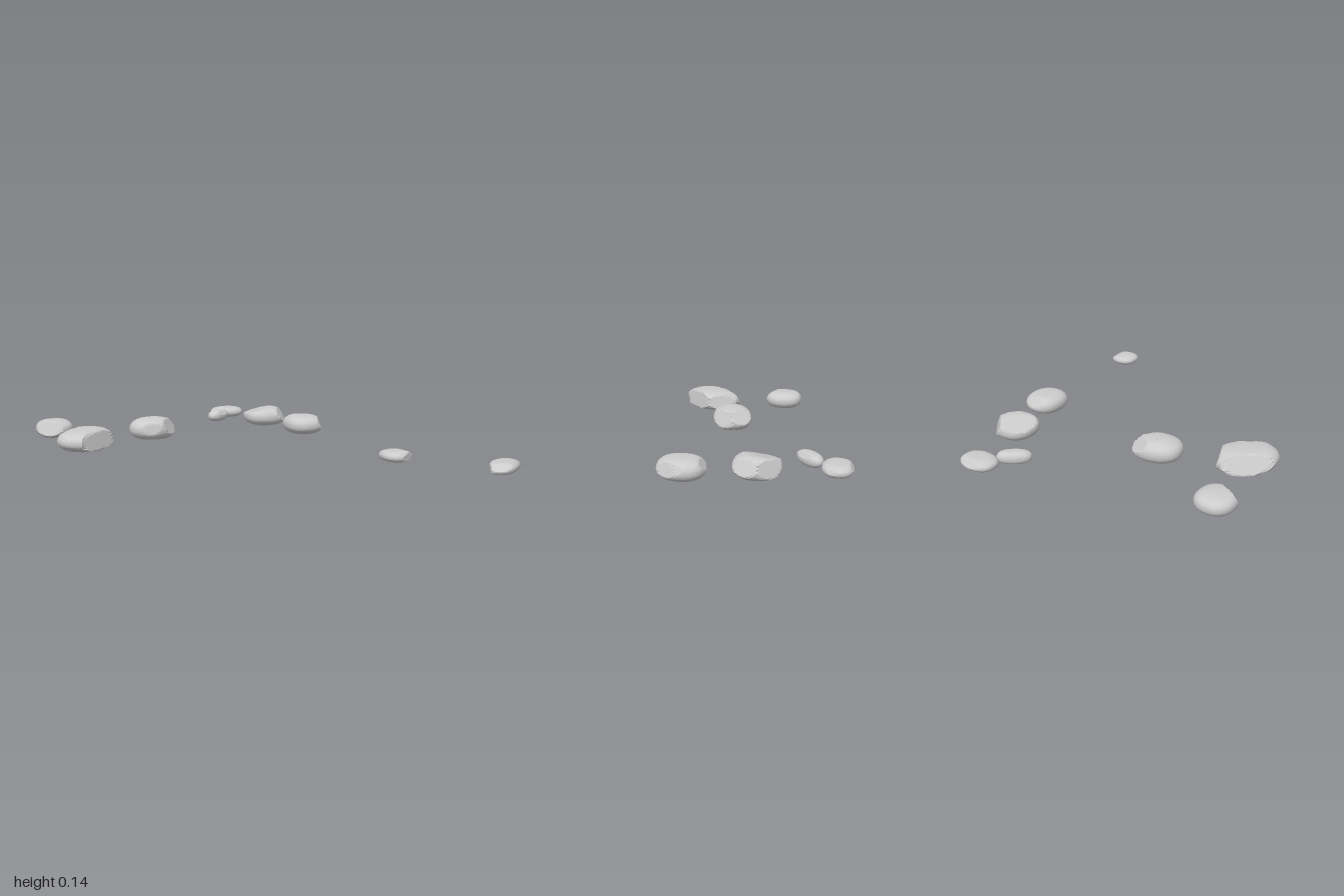
import * as THREE from 'three';

const RAD = Math.PI / 180;
const ROUNDNESS = 2.3;

// Direction from an azimuth (0 = +x, 90 = +z) and an elevation, in degrees
function direction(azimuth, elevation) {
  const flat = Math.cos(elevation * RAD);
  return new THREE.Vector3(
    flat * Math.cos(azimuth * RAD), Math.sin(elevation * RAD), flat * Math.sin(azimuth * RAD));
}

// Pebble: a flattened superellipse, turned by yaw, then chipped by flat cuts.
// Each chip is [azimuth, elevation, distance from the rock's centre].
function makeRock({ name, at, half, height, yaw, chips }, seed) {
  const planes = chips.map(([azimuth, elevation, d]) => ({ n: direction(azimuth, elevation), d }));
  const geometry = new THREE.IcosahedronGeometry(1, 6);
  const pos = geometry.attributes.position;
  const v = new THREE.Vector3();
  for (let i = 0; i < pos.count; i++) {
    v.fromBufferAttribute(pos, i);
    const flat = Math.hypot(v.x, v.z);
    const angle = Math.atan2(v.z, v.x);
    const a = Math.abs(Math.cos(angle - yaw * RAD)) / half[0];
    const b = Math.abs(Math.sin(angle - yaw * RAD)) / half[1];
    const edge = Math.pow(a ** ROUNDNESS + b ** ROUNDNESS, -1 / ROUNDNESS);
    const r = edge * Math.pow(flat, 0.66);
    // Gentle unevenness over the top and bottom
    const wobble = 1 + 0.02 * Math.sin(5 * v.x + seed) * Math.sin(6 * v.z + 2 * seed + 3 * v.y);
    const up = Math.sign(v.y) * Math.pow(Math.abs(v.y), 0.9) * height / 2;
    v.set(r * Math.cos(angle), up * wobble, r * Math.sin(angle));
    // Pull points beyond a chip back to its plane
    let k = 1;
    for (const { n, d } of planes) {
      const s = n.dot(v);
      if (s > d) k = Math.min(k, d / s);
    }
    v.multiplyScalar(k);
    pos.setXYZ(i, v.x, Math.max(0, v.y + height / 2), v.z);
  }
  geometry.computeVertexNormals();
  const mesh = new THREE.Mesh(geometry,
    new THREE.MeshStandardMaterial({ color: 0xcccccc, flatShading: true }));
  mesh.name = name;
  mesh.position.set(at[0], 0, at[1]);
  return mesh;
}

const rocks = [
  { name: 'backRock', at: [0.537, -0.912], half: [0.12, 0.09], height: 0.075, yaw: 0,
    chips: [[25, 25, 0.105], [-90, 35, 0.07]] },
  { name: 'backSmallRock', at: [0.41, -0.752], half: [0.105, 0.052], height: 0.08, yaw: -38,
    chips: [[52, 40, 0.045]] },
  { name: 'rightBackRock', at: [0.655, -0.48], half: [0.145, 0.137], height: 0.13, yaw: 0,
    chips: [[-45, 20, 0.105], [32, 30, 0.105], [-150, 75, 0.055]] },
  { name: 'rightRock', at: [0.755, -0.08], half: [0.125, 0.138], height: 0.125, yaw: 0,
    chips: [[10, 25, 0.11], [-90, 35, 0.11], [28, 20, 0.108]] },
  { name: 'frontRock', at: [0.845, 0.905], half: [0.092, 0.09], height: 0.065, yaw: 0,
    chips: [[75, 45, 0.062], [-10, 62, 0.045], [59, 0, 0.07]] },
  { name: 'middleRock', at: [-0.243, -0.212], half: [0.155, 0.122], height: 0.14, yaw: -15,
    chips: [[36, 25, 0.1], [-50, 45, 0.095], [95, 12, 0.118]] },
  { name: 'leftRock', at: [-0.725, -0.005], half: [0.2, 0.165], height: 0.13, yaw: 115,
    chips: [[51, 12, 0.11], [-23, 15, 0.15], [-133, 30, 0.1]] },
  { name: 'leftBackRock', at: [-0.828, -0.497], half: [0.118, 0.123], height: 0.115, yaw: 0,
    chips: [[120, 25, 0.083]] },
];

export function createModel() {
  const group = new THREE.Group();
  group.name = 'scatteredRocks';
  rocks.forEach((rock, i) => group.add(makeRock(rock, i * 1.7 + 0.5)));
  return group;
}
